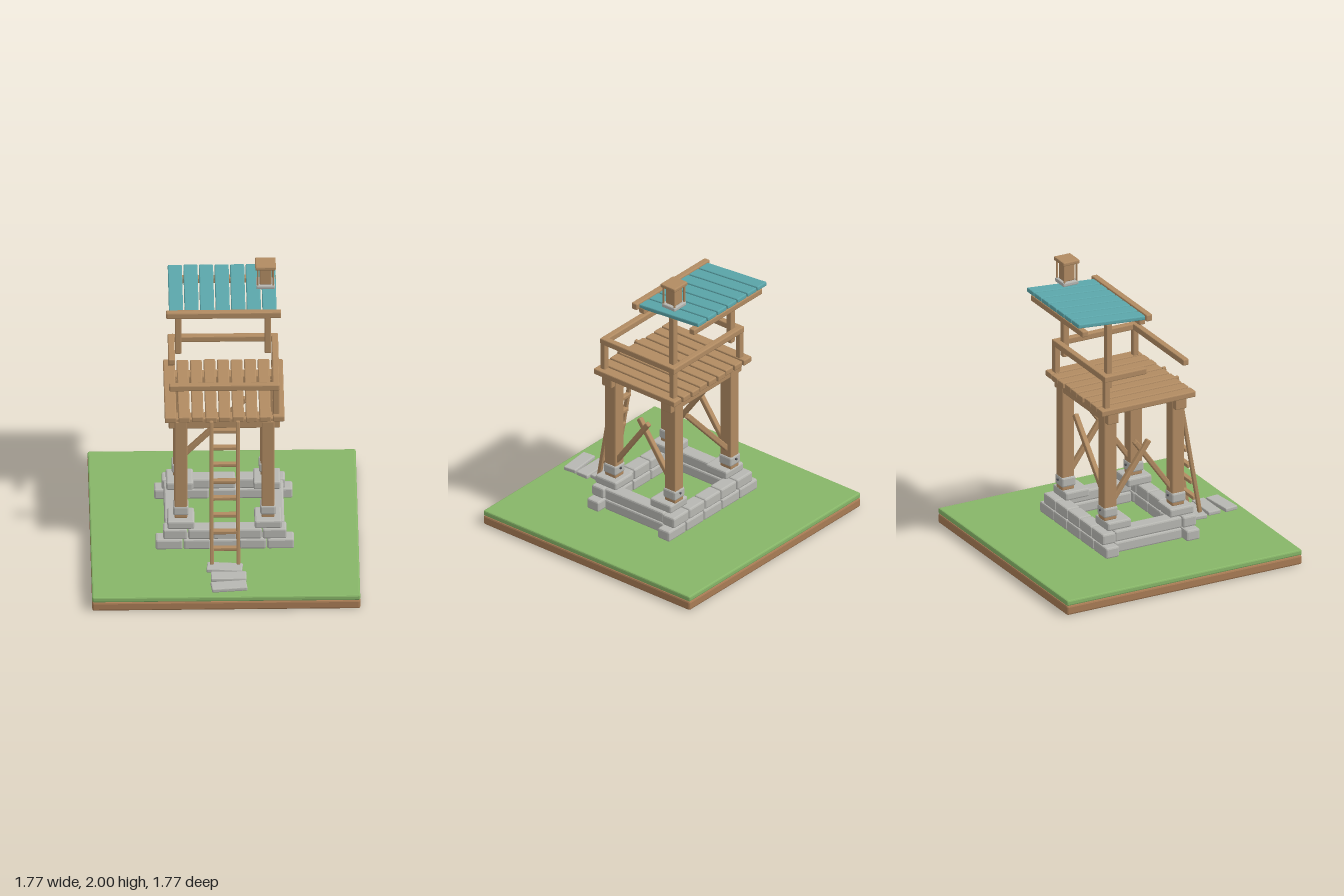
import * as THREE from 'three';
import { RoundedBoxGeometry } from 'three/addons/geometries/RoundedBoxGeometry.js';

const mat = (name, color) => {
  const m = new THREE.MeshStandardMaterial({ color });
  m.name = name;
  return m;
};

export function createModel() {
  const root = new THREE.Group();
  root.name = 'watchtower';
  const wood = mat('wood', 0xb18b62);
  const stone = mat('stone', 0xb7b7b2);
  const teal = mat('teal paint', 0x5ba6aa);
  const grass = mat('grass', 0x87b668);
  const soil = mat('soil', 0xa97c55);
  const iron = mat('iron', 0x55555a);

  // Box with flat chamfered edges, given by its limits on each axis
  const box = (name, m, [x0, x1], [y0, y1], [z0, z1], chamfer = 0.007) => {
    const w = x1 - x0, h = y1 - y0, d = z1 - z0;
    const g = new RoundedBoxGeometry(w, h, d, 1, Math.min(chamfer, w / 4, h / 4, d / 4));
    g.computeVertexNormals();
    const mesh = new THREE.Mesh(g, m);
    mesh.name = name;
    mesh.position.set((x0 + x1) / 2, (y0 + y1) / 2, (z0 + z1) / 2);
    root.add(mesh);
    return mesh;
  };
  const around = (c, size) => [c - size / 2, c + size / 2];

  // Beam between two points lying in the xy or yz plane
  const beam = (name, m, a, b, thickX, thickZ) => {
    const p = new THREE.Vector3(...a), q = new THREE.Vector3(...b);
    const mesh = box(name, m, around(0, thickX), around(0, p.distanceTo(q)), around(0, thickZ));
    mesh.position.copy(p).add(q).multiplyScalar(0.5);
    mesh.quaternion.setFromUnitVectors(new THREE.Vector3(0, 1, 0), q.sub(p).normalize());
    return mesh;
  };

  // Ground slab
  box('soil', soil, [-0.885, 0.885], [0, 0.066], [-0.885, 0.885], 0.012);
  box('grass', grass, [-0.885, 0.885], [0.066, 0.105], [-0.885, 0.885], 0.01);

  // Stepping stones
  [[-0.005, 0.555, -0.09], [0.02, 0.662, 0], [0.02, 0.778, 0.1]].forEach(([x, z, turn]) => {
    box('steppingStone', stone, around(x, 0.235), [0.103, 0.132], around(z, 0.094)).rotation.y = turn;
  });

  // Foundation: two courses of stones
  [[0.13, 0.206, 0.46], [0.209, 0.286, 0.41]].forEach(([y0, y1, half]) => {
    const step = (half * 2) / 5;
    for (const z of [-0.305, 0.303]) {
      for (let i = 0; i < 5; i++) {
        box('foundationStone', stone, around(-half + step * (i + 0.5), step - 0.005), [y0, y1], around(z, 0.1), 0.012);
      }
    }
    for (const s of [-1, 1]) {
      box('sideFoundationStone', stone, around(s * 0.345, 0.1), [y0, y1], [-0.253, 0.251], 0.012);
    }
  });

  // Legs with stone pads and collars
  for (const x of [-0.29, 0.286]) {
    for (const z of [-0.254, 0.258]) {
      box('footPad', stone, around(x, 0.18), [0.288, 0.348], around(z > 0 ? 0.26 : -0.21, 0.18), 0.012);
      box('leg', wood, around(x, 0.085), [0.345, 1.105], around(z, 0.092));
      box('collar', stone, around(x, 0.104), [0.37, 0.44], around(z, 0.104), 0.012);
      box('collarBolt', iron, around(x, 0.014), around(0.415, 0.014), around(z - 0.055, 0.016), 0.003);
    }
  }

  // Braces: crossed on both sides, a single one at the back
  for (const x of [-0.29, 0.286]) {
    beam('sideBrace', wood, [x + 0.01, 0.47, 0.225], [x + 0.01, 0.85, -0.045], 0.035, 0.035);
    beam('sideBrace', wood, [x - 0.01, 0.47, -0.225], [x - 0.01, 0.85, 0.05], 0.035, 0.035);
  }
  beam('backBrace', wood, [-0.26, 0.49, -0.255], [0.15, 0.925, -0.255], 0.038, 0.035);

  // Deck
  for (const z of [-0.253, 0.258]) {
    box('deckBeam', wood, [-0.37, 0.365], [1.05, 1.128], around(z, 0.084));
  }
  for (let i = 0; i < 9; i++) {
    const x = -0.358 + i * 0.0892;
    const trim = (i % 3) * 0.004;
    box('deckPlank', wood, around(x, 0.077), [1.13, 1.172], [-0.355 + trim, 0.355 - trim]);
  }

  // Railing: posts on three corners, short rail on the right side
  for (const [x, z] of [[0.34, 0.297], [0.34, -0.295], [-0.345, -0.295]]) {
    box('railPost', wood, around(x, 0.042), [1.165, 1.39], around(z, 0.04));
  }
  box('frontRail', wood, [-0.367, 0.362], [1.356, 1.4], around(0.297, 0.044));
  box('backRail', wood, [-0.367, 0.362], [1.356, 1.4], around(-0.295, 0.044));
  box('leftRail', wood, around(0.34, 0.044), [1.356, 1.4], [-0.318, 0.319]);
  box('rightRail', wood, around(-0.345, 0.044), [1.356, 1.4], [-0.318, 0]);

  // Roof posts and beams
  for (const x of [-0.298, 0.294]) {
    box('roofPost', wood, around(x, 0.044), [1.29, 1.75], around(-0.255, 0.044));
  }
  box('roofFrontBeam', wood, [-0.382, 0.377], [1.74, 1.787], [-0.01, 0.035]);
  for (const z of [-0.028, -0.458]) {
    box('roofSupport', wood, [-0.358, 0.35], [1.714, 1.756], around(z, 0.045));
  }

  // Sloping roof planks
  for (let i = 0; i < 7; i++) {
    const plank = box('roofPlank', teal, around(-0.316 + i * 0.1028, 0.094), around(1.781, 0.03), around(-0.256, 0.515));
    plank.rotation.x = 0.083;
  }

  // Lantern turret on the roof
  const lx = 0.278, lz = -0.248;
  box('lanternBase', stone, around(lx, 0.122), [1.822, 1.85], around(lz, 0.115));
  box('lanternBody', wood, around(lx, 0.08), [1.848, 1.978], around(lz, 0.08));
  for (const sx of [-1, 1]) {
    for (const sz of [-1, 1]) {
      box('lanternPost', wood, around(lx + sx * 0.051, 0.011), [1.848, 1.978], around(lz + sz * 0.046, 0.011), 0.002);
    }
  }
  box('lanternCap', wood, around(lx, 0.136), [1.973, 2.0], around(lz, 0.124));

  // Ladder leaning on the front of the deck
  for (const x of [-0.09, 0.085]) {
    beam('ladderRail', wood, [x, 0.145, 0.552], [x, 1.158, 0.375], 0.026, 0.028);
  }
  for (let i = 0; i < 8; i++) {
    const y = 0.25 + i * 0.119;
    const z = 0.552 - (y - 0.145) * 0.175;
    box('ladderRung', wood, [-0.085, 0.08], around(y, 0.026), around(z - 0.012, 0.036), 0.005);
  }

  return root;
}
